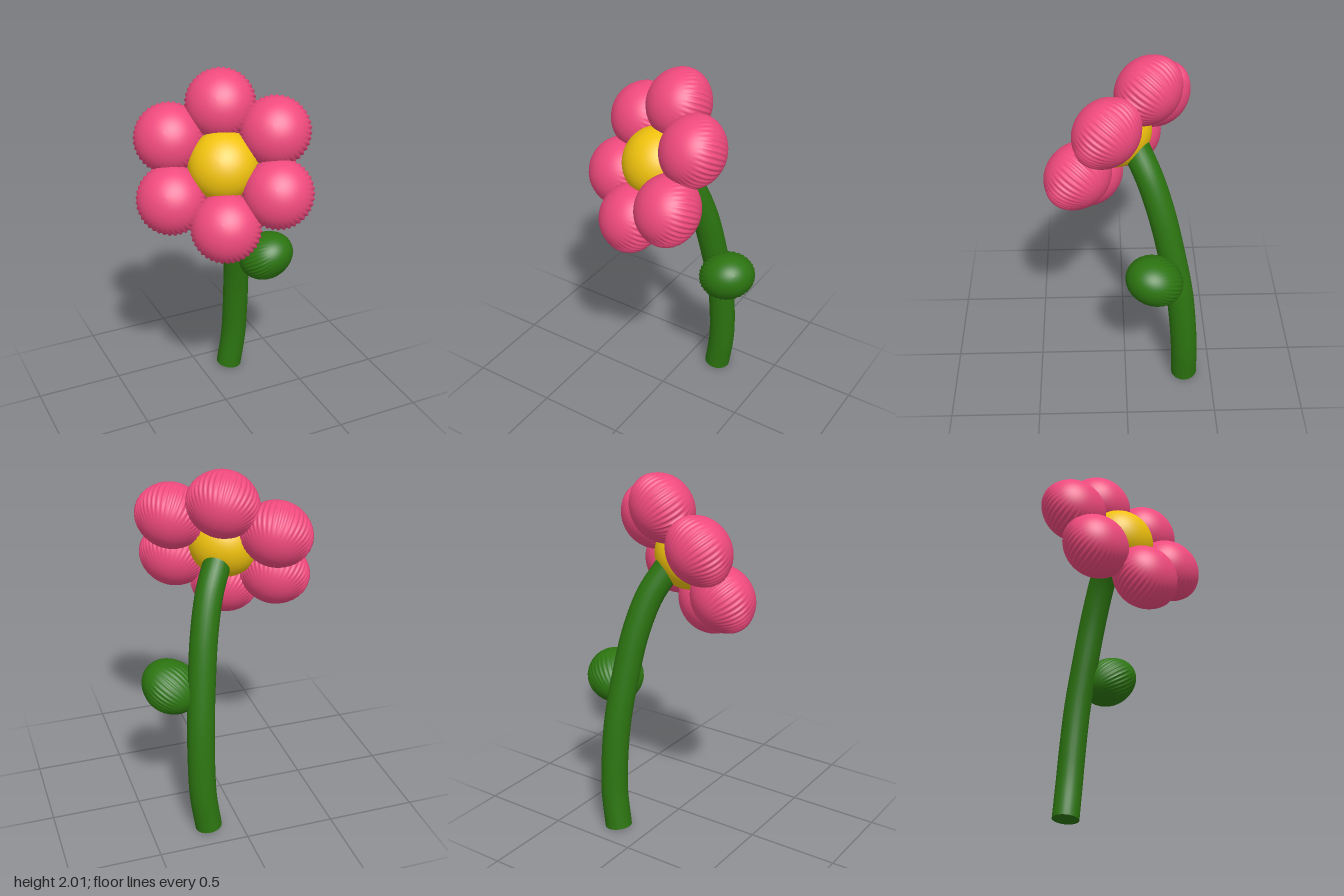
import * as THREE from 'three';

const PINK = 0xf04a7e, YELLOW = 0xf0c20e, GREEN = 0x2c7410;
const v = (x, y, z) => new THREE.Vector3(x, y, z);

function part(name, geometry, color) {
  const mesh = new THREE.Mesh(geometry, new THREE.MeshStandardMaterial({ color }));
  mesh.name = name;
  return mesh;
}

// Puffy ellipsoid facing +z, with fine ribs around its rim and back
function puff(rx, ry, rz, ribs, depth) {
  const g = new THREE.SphereGeometry(1, ribs * 4, 28).rotateX(Math.PI / 2);
  const p = g.attributes.position;
  for (let i = 0; i < p.count; i++) {
    const x = p.getX(i), y = p.getY(i), z = p.getZ(i);
    const rim = THREE.MathUtils.smoothstep(0.6 - z, 0, 0.6) * THREE.MathUtils.smoothstep(z, -0.9, -0.2);
    const k = 1 + depth * rim * Math.cos(ribs * Math.atan2(y, x));
    p.setXYZ(i, x * k * rx, y * k * ry, z * rz);
  }
  g.computeVertexNormals();
  return g;
}

// Turns an object so that its z axis follows normal and its y axis stays near up
function orient(object, normal, up) {
  const z = normal.clone().normalize();
  const x = up.clone().cross(z).normalize();
  object.quaternion.setFromRotationMatrix(new THREE.Matrix4().makeBasis(x, z.clone().cross(x), z));
}

export function createModel() {
  const model = new THREE.Group();
  model.name = 'flower';

  // Flower head: six petals in a ring around the centre
  const head = new THREE.Group();
  head.name = 'flowerHead';
  head.position.set(-0.03, 1.548, 0.032);
  orient(head, v(-0.48, 0.48, 0.74), v(0.05, 0.285, -0.145));
  const petalShape = puff(0.187, 0.187, 0.165, 40, 0.03);
  for (let i = 0; i < 6; i++) {
    const a = (i * Math.PI) / 3;
    const petal = part('petal' + (i + 1), petalShape, PINK);
    petal.position.set(Math.sin(a) * 0.325, Math.cos(a) * 0.325, 0);
    petal.rotation.z = -a;
    head.add(petal);
  }
  head.add(part('flowerCentre', puff(0.187, 0.187, 0.165, 40, 0.0), YELLOW));
  model.add(head);

  // Curved stem, closed by a flat base and a rounded top
  const radius = 0.075;
  const path = new THREE.CatmullRomCurve3([
    v(0.18, 0.015, -0.345), v(0.207, 0.22, -0.338), v(0.212, 0.42, -0.324),
    v(0.205, 0.65, -0.298), v(0.183, 0.9, -0.25), v(0.15, 1.15, -0.192),
    v(0.1, 1.35, -0.127), v(0.035, 1.49, -0.06),
  ]);
  const stem = new THREE.Group();
  stem.name = 'stem';
  stem.add(part('stalk', new THREE.TubeGeometry(path, 48, radius, 24), GREEN));
  const base = part('stalkBase', new THREE.CircleGeometry(radius, 24), GREEN);
  base.position.copy(path.getPoint(0));
  orient(base, path.getTangent(0).negate(), v(0, 0, 1));
  const tip = part('stalkTip', new THREE.SphereGeometry(radius, 24, 16), GREEN);
  tip.position.copy(path.getPoint(1));
  stem.add(base, tip);
  model.add(stem);

  // Single plump leaf beside the stem
  const leaf = part('leaf', puff(0.155, 0.133, 0.165, 36, 0.02), GREEN);
  leaf.position.set(0.328, 0.84, -0.15);
  orient(leaf, v(0.6, 0.52, 0.6), v(0, 1, 0));
  model.add(leaf);

  return model;
}
